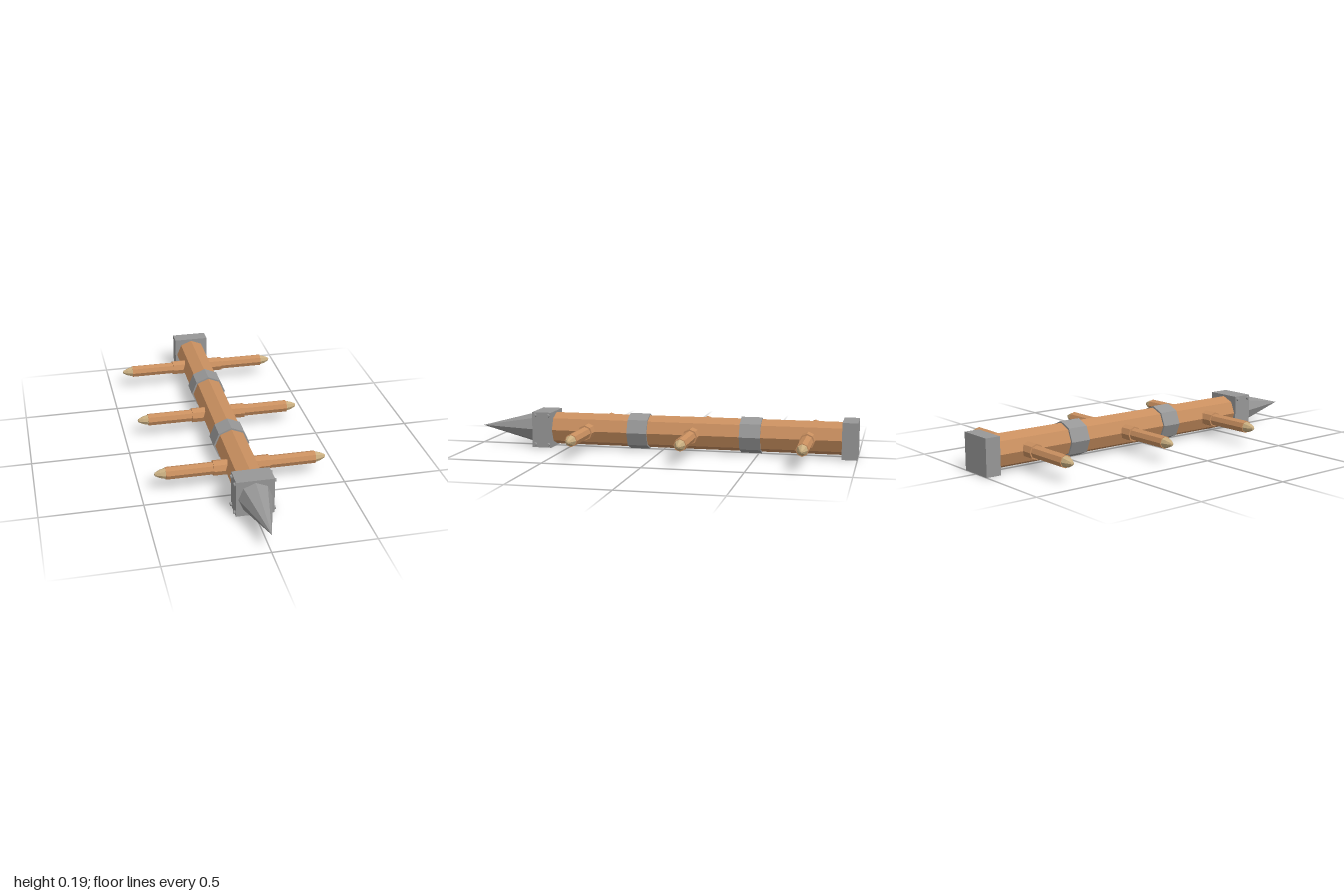
import * as THREE from 'three';

const MID = 0.098; // height of the beam axis

function flatMaterial(name, color) {
  const m = new THREE.MeshStandardMaterial({ color, flatShading: true });
  m.name = name;
  return m;
}

export function createModel() {
  const wood = flatMaterial('wood', 0xc98f5f);
  const iron = flatMaterial('iron', 0x979797);
  const paleWood = flatMaterial('paleWood', 0xc9ae80);

  const ram = new THREE.Group();
  ram.name = 'batteringRam';

  function add(parent, name, geometry, material, x = 0, y = 0, z = 0) {
    const mesh = new THREE.Mesh(geometry, material);
    mesh.name = name;
    mesh.position.set(x, y, z);
    parent.add(mesh);
    return mesh;
  }

  // Eight-sided bar lying along z
  function barZ(name, rBack, rFront, z0, z1, material) {
    const g = new THREE.CylinderGeometry(rFront, rBack, z1 - z0, 8).rotateX(Math.PI / 2);
    return add(ram, name, g, material, 0, MID, (z0 + z1) / 2);
  }

  // Beam, bands and pointed head
  barZ('beam', 0.084, 0.084, -0.94, 0.6, wood);
  barZ('rearBand', 0.093, 0.093, -0.515, -0.408, iron);
  barZ('frontBand', 0.093, 0.093, 0.073, 0.178, iron);
  barZ('headSpike', 0.082, 0, 0.688, 1, iron);

  // Square end blocks
  add(ram, 'frontBlock', new THREE.BoxGeometry(0.186, 0.186, 0.105), iron, 0, MID, 0.637);
  add(ram, 'rearBlock', new THREE.BoxGeometry(0.186, 0.186, 0.077), iron, 0, MID, -0.9615);

  // Rivets on both sides of the front block
  const rivet = new THREE.CylinderGeometry(0.008, 0.011, 0.014, 8).rotateZ(-Math.PI / 2);
  for (const side of [1, -1])
    for (const dy of [-0.077, 0.077])
      for (const z of [0.602, 0.674]) {
        const r = add(ram, 'rivet', rivet, iron, side * 0.095, MID + dy, z);
        if (side < 0) r.rotation.y = Math.PI;
      }

  // Side handles: collar, shaft and whittled tip
  const collar = new THREE.CylinderGeometry(0.039, 0.039, 0.12, 8).rotateZ(-Math.PI / 2);
  const shaft = new THREE.CylinderGeometry(0.032, 0.032, 0.275, 8).rotateZ(-Math.PI / 2);
  const profile = [[0.028, 0], [0.021, 0.027], [0.009, 0.051], [0, 0.055]];
  const tip = new THREE.LatheGeometry(profile.map(p => new THREE.Vector2(...p)), 8).rotateZ(-Math.PI / 2);
  for (const z of [0.387, -0.165, -0.755])
    for (const side of [1, -1]) {
      const handle = new THREE.Group();
      handle.name = side > 0 ? 'leftHandle' : 'rightHandle';
      handle.position.set(0, MID + 0.001, z);
      if (side < 0) handle.rotation.y = Math.PI;
      add(handle, 'handleCollar', collar, wood, 0.081);
      add(handle, 'handleShaft', shaft, wood, 0.2375);
      add(handle, 'handleTip', tip, paleWood, 0.375);
      ram.add(handle);
    }

  return ram;
}
